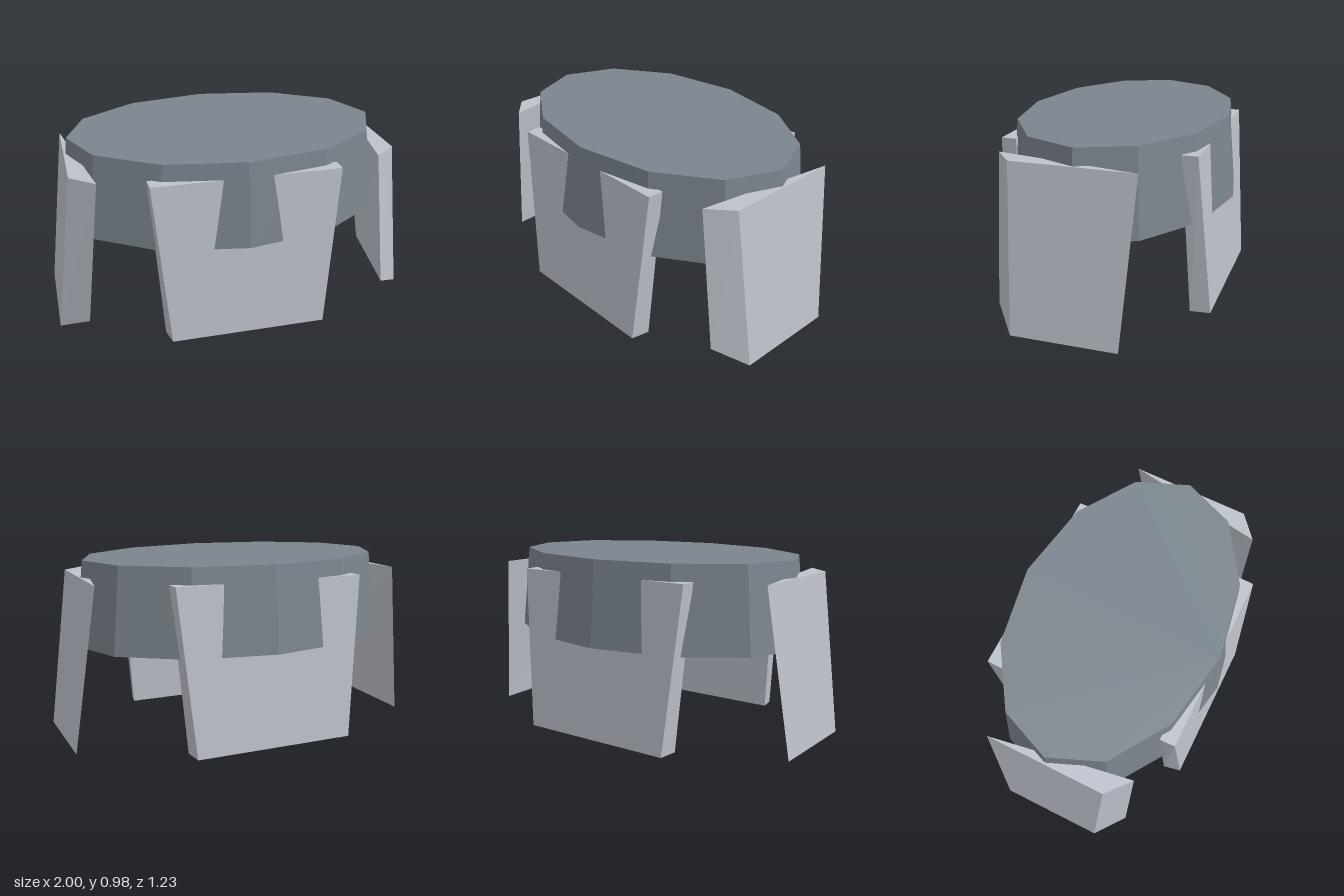
import * as THREE from 'three';

// Closed solid between two matching loops of [x, y, z], ordered counter-clockwise seen from above
function loft(bottom, top) {
  const pos = [];
  const n = bottom.length;
  const tri = (a, b, c) => pos.push(...a, ...b, ...c);
  for (let i = 0; i < n; i++) {
    const j = (i + 1) % n;
    tri(bottom[i], bottom[j], top[j]);
    tri(bottom[i], top[j], top[i]);
    if (i > 0 && i < n - 1) {
      tri(top[0], top[i], top[i + 1]);
      tri(bottom[0], bottom[i + 1], bottom[i]);
    }
  }
  const geo = new THREE.BufferGeometry();
  geo.setAttribute('position', new THREE.Float32BufferAttribute(pos, 3));
  geo.computeVertexNormals();
  return geo;
}

// Mirror a loop across x and restore its winding
const mirror = (loop) => loop.map(([x, y, z]) => [-x, y, z]).reverse();

// Four-cornered loop: outer edge at zo with half width wo, inner edge at zi with half width wi
const slab = (y, zo, wo, zi, wi) => {
  const loop = [[-wo, y, zo], [wo, y, zo], [wi, y, zi], [-wi, y, zi]];
  return zo > zi ? loop : loop.reverse();
};

export function createModel() {
  const group = new THREE.Group();
  const slate = new THREE.MeshStandardMaterial({ color: 0x7b858d });
  slate.name = 'slate grey';
  slate.flatShading = true;
  const pale = new THREE.MeshStandardMaterial({ color: 0xbdc1cb });
  pale.name = 'pale grey';
  pale.flatShading = true;

  const add = (name, geo, material) => {
    const mesh = new THREE.Mesh(geo, material);
    mesh.name = name;
    group.add(mesh);
  };

  // Twelve-sided oval body, slightly wider at the bottom
  const ring = (y, rx, rz) => Array.from({ length: 12 }, (_, i) => {
    const a = (i * Math.PI) / 6;
    return [Math.sin(a) * rx, y, Math.cos(a) * rz];
  });
  add('body', loft(ring(0.515, 0.915, 0.613), ring(0.98, 0.867, 0.57)), slate);

  // Front and back plates, leaning in towards the top
  add('frontPlate', loft(
    slab(0, 0.613, 0.425, 0.513, 0.445),
    slab(0.89, 0.555, 0.507, 0.47, 0.51)), pale);
  add('backPlate', loft(
    slab(0, -0.6, 0.45, -0.49, 0.46),
    slab(0.89, -0.53, 0.533, -0.445, 0.535)), pale);

  // Wedge-shaped side plates, thick towards the front
  const low = [[0.845, 0.092, 0.445], [1, 0, 0.312], [1, 0, -0.267]];
  const high = [[0.757, 0.89, 0.445], [0.887, 0.89, 0.335], [0.887, 0.89, -0.332]];
  add('leftPlate', loft(low, high), pale);
  add('rightPlate', loft(mirror(low), mirror(high)), pale);

  return group;
}
